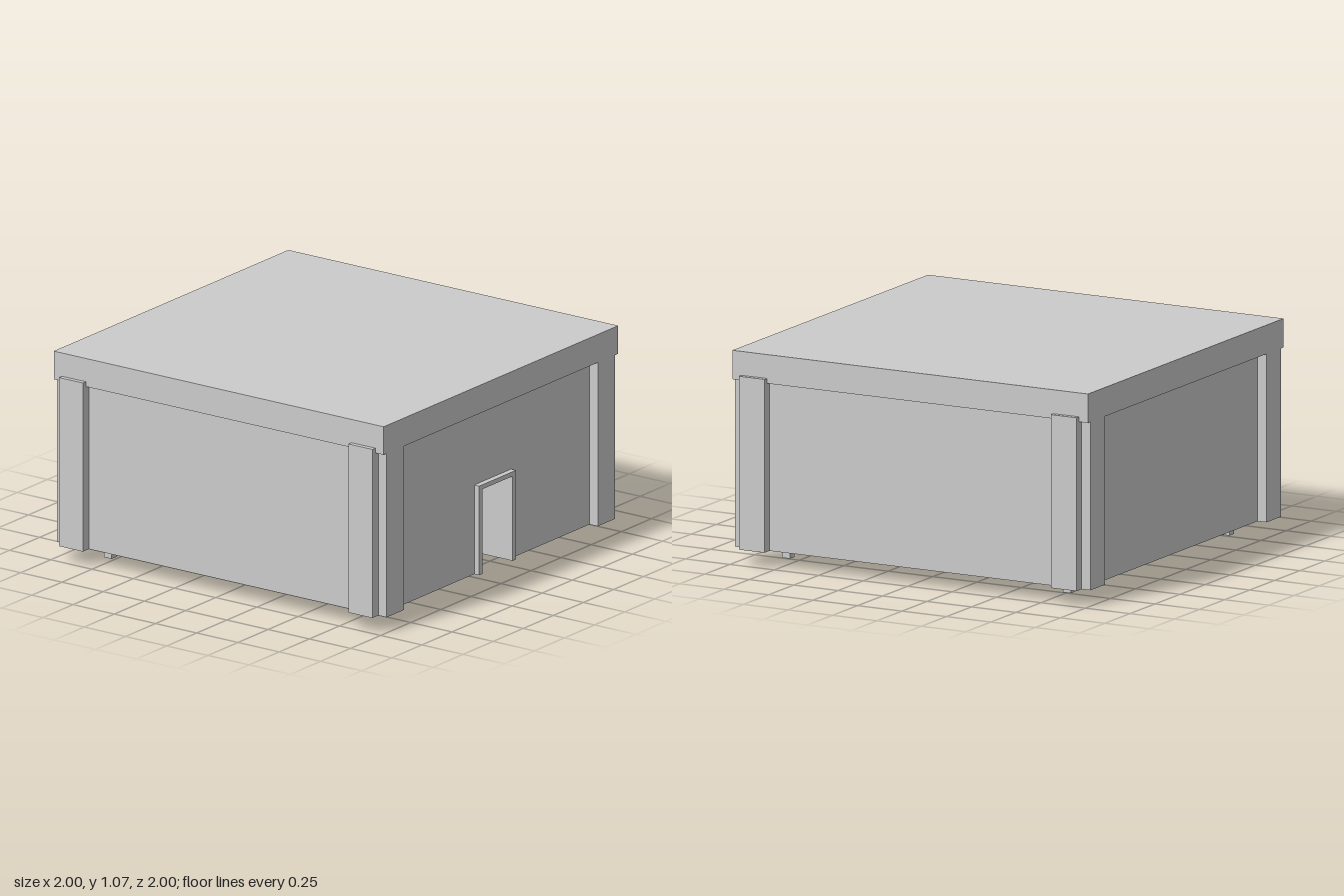
import * as THREE from 'three';

const material = new THREE.MeshStandardMaterial({ color: 0xcccccc, flatShading: true });

export function createModel() {
  const group = new THREE.Group();
  const add = (name, geometry) => {
    const mesh = new THREE.Mesh(geometry, material);
    mesh.name = name;
    group.add(mesh);
    return mesh;
  };
  // Box given by its lower and upper limits on each axis
  const box = (name, x0, x1, y0, y1, z0, z1) => {
    const mesh = add(name, new THREE.BoxGeometry(x1 - x0, y1 - y0, z1 - z0));
    mesh.position.set((x0 + x1) / 2, (y0 + y1) / 2, (z0 + z1) / 2);
  };
  // Upright outline extruded along z
  const slab = (name, points, z0, z1) => {
    const shape = new THREE.Shape(points.map(([x, y]) => new THREE.Vector2(x, y)));
    const mesh = add(name, new THREE.ExtrudeGeometry(shape, { depth: z1 - z0, bevelEnabled: false }));
    mesh.position.z = z0;
  };

  const base = 0.08, eave = 0.925, outer = 0.95, inner = 0.8;

  // Flat roof
  box('roof', -0.975, 0.975, eave, 1.07, -1, 1);

  // Walls, the front one with a doorway
  slab('frontWall', [
    [-outer, base], [-0.15, base], [-0.15, 0.54], [0.15, 0.54],
    [0.15, base], [outer, base], [outer, eave], [-outer, eave],
  ], inner, outer);
  box('backWall', -outer, outer, base, eave, -outer, -inner);
  for (const s of [-1, 1]) {
    const x = s * (outer + inner) / 2, h = (outer - inner) / 2;
    box('sideWall', x - h, x + h, base, eave, -inner, inner);
  }

  // Door frame, standing proud of the wall on both sides
  slab('doorFrame', [
    [-0.153, base], [-0.125, base], [-0.125, 0.517], [0.125, 0.517],
    [0.125, base], [0.153, base], [0.153, 0.54], [-0.153, 0.54],
  ], 0.775, 0.98);

  for (const sx of [-1, 1]) {
    for (const sz of [-1, 1]) {
      // Corner pilasters on the front and back, then on the sides
      const px = sx * 0.8775, pz = sz * 0.8775;
      box('endPilaster', px - 0.0725, px + 0.0725, base, eave, sz * 0.975 - 0.025, sz * 0.975 + 0.025);
      box('sidePilaster', sx * 0.975 - 0.025, sx * 0.975 + 0.025, base, 0.95, pz - 0.0725, pz + 0.0725);

      // Thin posts in the inner corners, reaching below the walls
      const foot = sx < 0 && sz < 0 ? 0 : 0.018;
      box('innerPost', sx * 0.79 - 0.023, sx * 0.79 + 0.023, foot, eave, sz * 0.79 - 0.023, sz * 0.79 + 0.023);
    }
  }

  // Ceiling beams: a border along the walls and two lengthwise beams
  for (const s of [-1, 1]) {
    box('ceilingBorder', -inner, inner, 0.885, eave, s * 0.78 - 0.02, s * 0.78 + 0.02);
    box('ceilingBorder', s * 0.78 - 0.02, s * 0.78 + 0.02, 0.885, eave, -0.76, 0.76);
    box('ceilingBeam', s * 0.6 - 0.02, s * 0.6 + 0.02, 0.885, eave, -0.76, 0.76);
  }

  return group;
}
